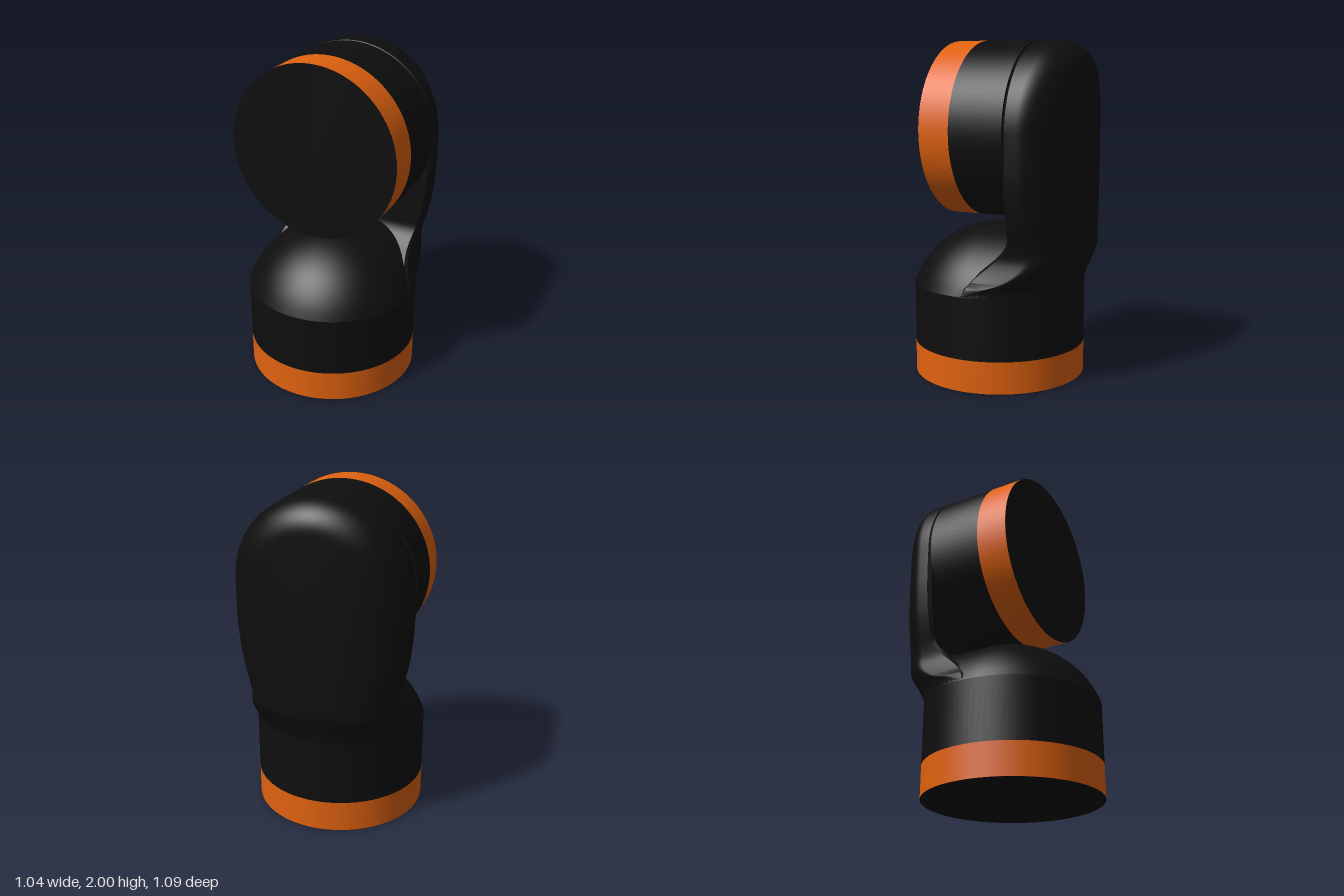
import * as THREE from 'three';
import { toCreasedNormals } from 'three/addons/utils/BufferGeometryUtils.js';

const R = 0.52;        // radius of both round housings
const BASE_Z = 0.025;  // axis of the base
const HEAD_Y = 1.48;   // axis of the head
const FRONT = -0.235;  // plane where head meets back shell
const SHOULDER = 0.555;

const black = new THREE.MeshStandardMaterial({ color: 0x0e0e0e, side: THREE.DoubleSide });
const orange = new THREE.MeshStandardMaterial({ color: 0xe0620f });

// Surface from a rule point(i, j) => [x, y, z]
function surface(rows, cols, point) {
  const pos = [], index = [];
  for (let i = 0; i <= rows; i++) for (let j = 0; j <= cols; j++) pos.push(...point(i, j));
  for (let i = 0; i < rows; i++) for (let j = 0; j < cols; j++) {
    const a = i * (cols + 1) + j, b = a + cols + 1;
    index.push(a, b, a + 1, b, b + 1, a + 1);
  }
  const g = new THREE.BufferGeometry();
  g.setAttribute('position', new THREE.Float32BufferAttribute(pos, 3));
  g.setIndex(index);
  return toCreasedNormals(g, 0.6);
}

// Dome over the base: round in front, running straight back as a ridge
function domeGeometry() {
  const rings = 28, segs = 96, arc = 0.555;
  return surface(rings + 1, segs, (i, j) => {
    const r = R * Math.min(i, rings) / rings, t = -j / segs * Math.PI * 2;
    const x = r * Math.cos(t), z = r * Math.sin(t);
    const reach = z > 0 ? r : Math.abs(x);
    const y = i > rings ? SHOULDER : 0.915 - arc + Math.sqrt(arc * arc - reach * reach);
    return [x, y, z + BASE_Z];
  });
}

// Half width of the back shell below the head axis, as [y, width]
const waist = [[0.56, 0.52], [0.6, 0.51], [0.65, 0.478], [0.73, 0.446], [0.78, 0.437], [0.85, 0.446],
  [0.95, 0.474], [1.05, 0.496], [1.2, 0.514], [1.33, 0.519], [1.48, 0.52]];
const waistCurve = new THREE.CatmullRomCurve3(waist.map(([y, w]) => new THREE.Vector3(w, y, 0)));

// Back shell and neck: level cross-sections with a bowed, rounded back
function shellGeometry() {
  const sections = [];
  for (let i = 0; i < 50; i++) {
    const p = waistCurve.getPoint(i / 50);
    sections.push([p.y, p.x]);
  }
  for (let i = 0; i <= 32; i++) {
    const a = i / 32 * Math.PI / 2;
    sections.push([HEAD_Y + R * Math.sin(a), Math.max(R * Math.cos(a), 0.0005)]);
  }
  const backZ = (x, y, w) => {
    const inset = y > HEAD_Y ? R - Math.hypot(x, y - HEAD_Y) : w - Math.abs(x);
    const k = 1 - THREE.MathUtils.clamp(inset / 0.17, 0, 1);
    const z = FRONT - (0.305 - 0.42 * x * x) * (0.4 + 0.6 * Math.sqrt(1 - k * k));
    const round = BASE_Z - Math.sqrt(Math.max(R * R - x * x, 0));
    return THREE.MathUtils.lerp(round, z, THREE.MathUtils.smoothstep(y, 0.57, 0.78));
  };
  const n = 40;
  return surface(sections.length - 1, n + 5, (i, j) => {
    const [y, w] = sections[i];
    if (j <= n) {
      const x = w * Math.sin((j / n - 0.5) * Math.PI);
      return [x, y, backZ(x, y, w)];
    }
    // Front side with a slim bevelled rim
    const zf = THREE.MathUtils.lerp(BASE_Z, FRONT, THREE.MathUtils.smoothstep(y, 0.56, 0.9));
    const rim = Math.max(zf - 0.02, backZ(w, y, w));
    const yf = y > HEAD_Y ? HEAD_Y + (y - HEAD_Y) * 0.965 : y;
    return [
      [w, y, rim], [w * 0.965, yf, zf], [-w * 0.965, yf, zf], [-w, y, rim],
      [-w, y, backZ(-w, y, w)],
    ][j - n - 1];
  });
}

export function createModel() {
  const group = new THREE.Group();
  const add = (name, geometry, material) => {
    const mesh = new THREE.Mesh(geometry, material);
    mesh.name = name;
    group.add(mesh);
    return mesh;
  };
  const drum = (name, from, to, material, lying) => {
    const mid = (from + to) / 2;
    const m = add(name, new THREE.CylinderGeometry(R, R, to - from, 96), material);
    if (lying) {
      m.rotation.x = Math.PI / 2;
      m.position.set(0, HEAD_Y, mid);
    } else m.position.set(0, mid, BASE_Z);
  };
  const face = (name, lying) => {
    const m = add(name, new THREE.CircleGeometry(R, 96), black);
    if (lying) m.position.set(0, HEAD_Y, 0.281);
    else {
      m.rotation.x = Math.PI / 2;
      m.position.set(0, -0.001, BASE_Z);
    }
  };

  // Base
  drum('baseRing', 0, 0.19, orange, false);
  drum('baseHousing', 0.19, SHOULDER, black, false);
  face('baseFace', false);
  add('baseDome', domeGeometry(), black);

  // Neck and back
  add('backShell', shellGeometry(), black);

  // Head
  drum('headHousing', FRONT - 0.003, 0.09, black, true);
  drum('headRing', 0.09, 0.28, orange, true);
  face('headFace', true);
  return group;
}
